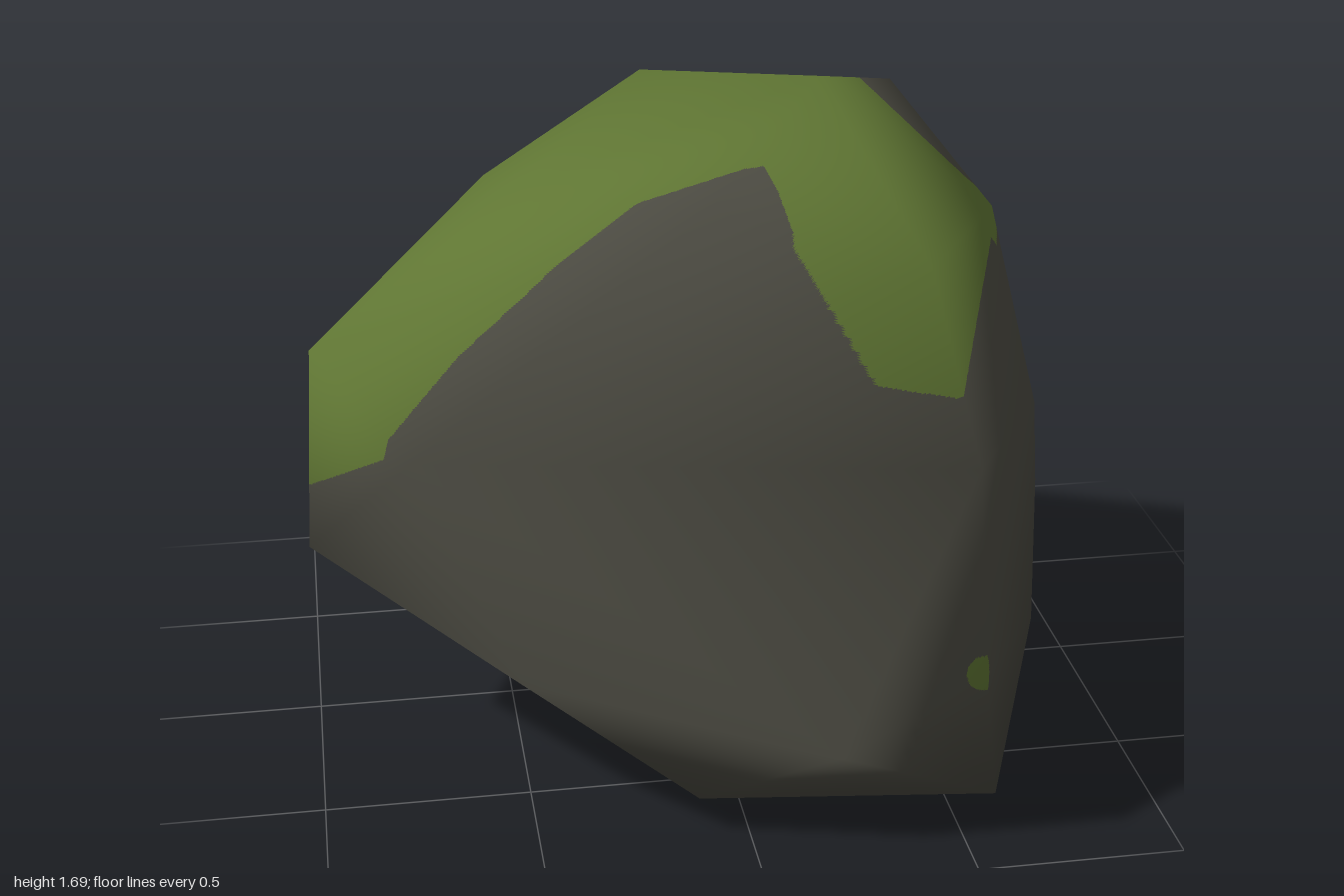
import * as THREE from 'three';
import { ConvexGeometry } from 'three/addons/geometries/ConvexGeometry.js';
import { mergeVertices } from 'three/addons/utils/BufferGeometryUtils.js';

const vec = (p) => new THREE.Vector3(...p);

// Corners of the boulder, from crown to base
const CORNERS = [
  [0.26, 1.69, 0.17], [-0.46, 1.45, 0.17], [-0.05, 1.47, 0.46], [0.42, 1.38, 0.67],
  [0.56, 1.52, -0.36], [-0.07, 1.52, -0.55], [-0.5, 1.3, -0.4], [0.74, 1.29, 0.02],
  [-0.97, 1.07, 0.17], [-0.75, 0.85, 0.38], [0.51, 0.95, 0.83], [0.83, 1.07, -0.23],
  [-0.28, 1.06, -0.94], [-0.85, 0.81, -0.53], [0.68, 0.71, -0.56], [0.94, 0.66, -0.17],
  [-1, 0.55, 0.17], [-0.52, 0.36, 0.6], [0.19, 0.27, 0.9], [0.51, 0.49, 0.95],
  [1, 0.36, -0.31], [0.4, 0.37, -0.81], [0.2, 0.79, -0.95], [-0.28, 0.54, -0.95],
  [-0.7, 0.32, -0.15], [-0.5, 0.14, 0.18], [-0.12, 0.1, 0.75], [0.57, 0.12, 0.87],
  [0.87, 0.17, 0.13], [0.64, 0.08, -0.43], [-0.05, 0.16, -0.5], [0.26, 0, 0.17],
].map(vec);

// Outline of the moss cap, once round the boulder
const MOSS_EDGE = [
  [-1, 0.72, 0.17], [-0.82, 0.85, 0.33], [-0.62, 1.09, 0.33], [-0.45, 1.23, 0.34],
  [-0.2, 1.44, 0.35], [-0.1, 1.48, 0.36], [0.09, 1.53, 0.37], [0.11, 1.5, 0.43],
  [0.13, 1.42, 0.56], [0.3, 1.14, 0.72], [0.47, 1.1, 0.77], [0.71, 1.24, 0.12],
  [0.76, 1.21, 0.05], [0.76, 1.22, 0], [0.74, 1.25, -0.03], [0.68, 1.36, -0.04],
  [0.42, 1.6, -0.12], [0.21, 1.55, -0.48], [0.45, 1.38, -0.53], [0.66, 1.12, -0.41],
  [0.55, 0.86, -0.63], [0.23, 0.91, -0.92], [-0.03, 0.86, -0.95], [-0.27, 0.72, -0.94],
  [-0.73, 0.86, -0.57], [-0.81, 0.9, -0.5], [-0.9, 0.84, -0.2],
].map(vec);

const BASE_Y = 0.3;
const SPOT = new THREE.Vector3(0.51, 0.49, 0.95);

// Project a surface point upward from inside the boulder onto a level plane
const flatten = (p) => [p.x / (p.y - BASE_Y), p.z / (p.y - BASE_Y)];

const OUTLINE = MOSS_EDGE.map(flatten);

function isMoss(p) {
  if (p.distanceTo(SPOT) < 0.045) return true;
  if (p.y < BASE_Y + 0.05) return false;
  const [x, y] = flatten(p);
  let inside = false;
  OUTLINE.forEach(([ax, ay], i) => {
    const [bx, by] = OUTLINE[(i + 1) % OUTLINE.length];
    if (ay > y !== by > y && x < ax + ((y - ay) / (by - ay)) * (bx - ax)) inside = !inside;
  });
  return inside;
}

// A corner is { p: position, n: smooth normal }
const midpoint = (a, b) => ({
  p: a.p.clone().lerp(b.p, 0.5),
  n: a.n.clone().lerp(b.n, 0.5),
});

// Split a face finely only where the moss edge crosses it
function splitFace(a, b, c, depth, surfaces) {
  const hits = [a, b, c].filter((v) => isMoss(v.p)).length;
  const mixed = hits === 1 || hits === 2;
  if (depth < 4 || (mixed && depth < 7)) {
    const ab = midpoint(a, b), bc = midpoint(b, c), ca = midpoint(c, a);
    splitFace(a, ab, ca, depth + 1, surfaces);
    splitFace(ab, b, bc, depth + 1, surfaces);
    splitFace(ca, bc, c, depth + 1, surfaces);
    splitFace(ab, bc, ca, depth + 1, surfaces);
    return;
  }
  const target = hits >= 2 ? surfaces.moss : surfaces.stone;
  for (const v of [a, b, c]) {
    target.positions.push(v.p.x, v.p.y, v.p.z);
    const n = v.n.clone().normalize();
    target.normals.push(n.x, n.y, n.z);
  }
}

function surfaceMesh(name, { positions, normals }, material) {
  const geometry = new THREE.BufferGeometry();
  geometry.setAttribute('position', new THREE.Float32BufferAttribute(positions, 3));
  geometry.setAttribute('normal', new THREE.Float32BufferAttribute(normals, 3));
  const mesh = new THREE.Mesh(geometry, material);
  mesh.name = name;
  return mesh;
}

export function createModel() {
  const stone = new THREE.MeshStandardMaterial({ color: 0x4c4b42 });
  stone.name = 'stone grey';
  const moss = new THREE.MeshStandardMaterial({ color: 0x5f7533 });
  moss.name = 'moss green';

  // Boulder hull with smooth shared normals
  let hull = new ConvexGeometry(CORNERS);
  hull.deleteAttribute('normal');
  hull = mergeVertices(hull, 1e-4);
  hull.computeVertexNormals();

  // Divide the hull into bare stone and moss
  const surfaces = {
    stone: { positions: [], normals: [] },
    moss: { positions: [], normals: [] },
  };
  const corner = (i) => ({
    p: new THREE.Vector3().fromBufferAttribute(hull.attributes.position, i),
    n: new THREE.Vector3().fromBufferAttribute(hull.attributes.normal, i),
  });
  const index = hull.index.array;
  for (let i = 0; i < index.length; i += 3) {
    splitFace(corner(index[i]), corner(index[i + 1]), corner(index[i + 2]), 0, surfaces);
  }

  const group = new THREE.Group();
  group.name = 'mossyBoulder';
  group.add(surfaceMesh('bareStone', surfaces.stone, stone));
  group.add(surfaceMesh('mossCap', surfaces.moss, moss));
  return group;
}
